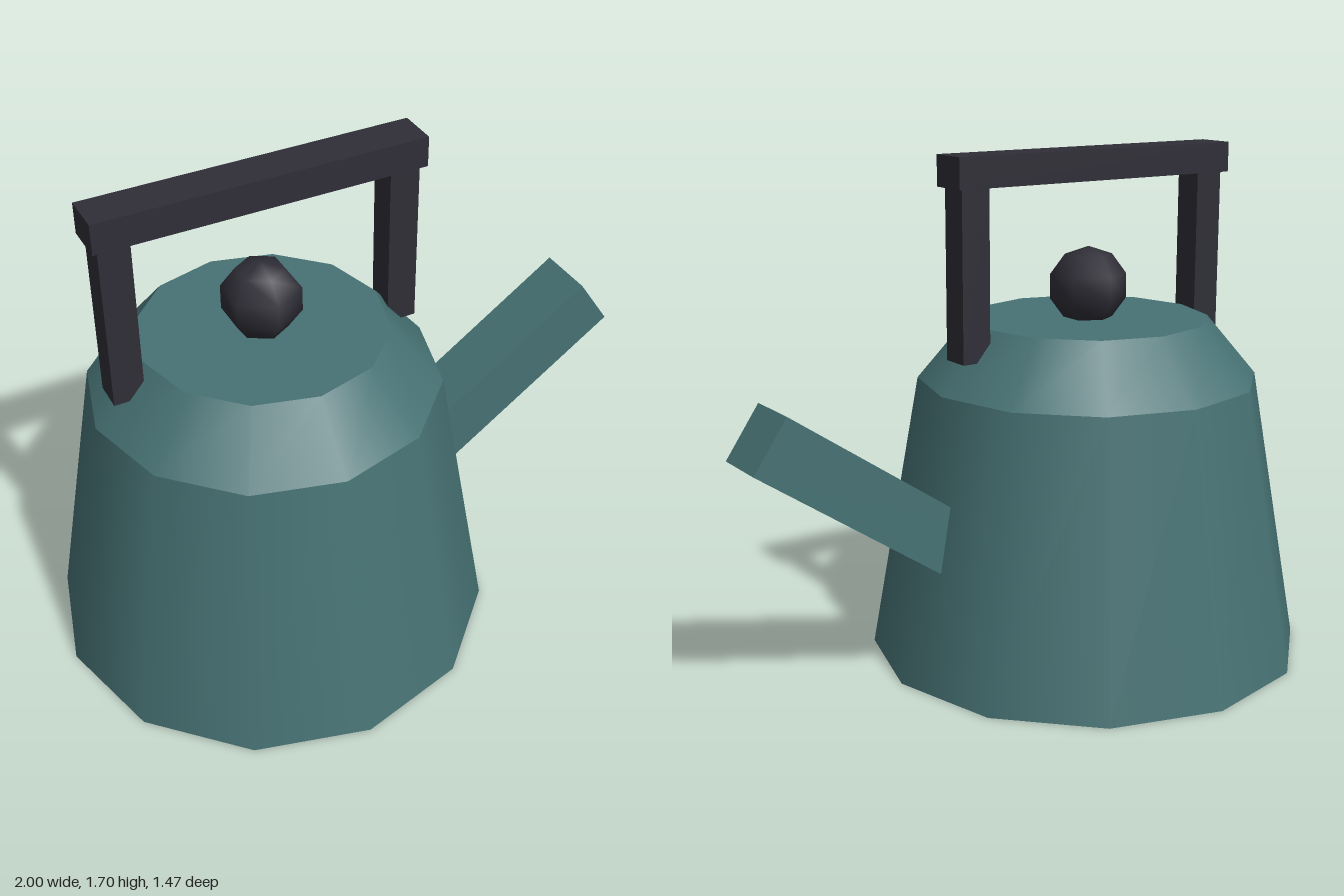
import * as THREE from 'three';

export function createModel() {
  const kettle = new THREE.Group();
  kettle.name = 'kettle';
  const teal = new THREE.MeshStandardMaterial({ color: 0x477274 });
  teal.name = 'teal enamel';
  const dark = new THREE.MeshStandardMaterial({ color: 0x2f2e37 });
  dark.name = 'dark grip';
  const cx = -0.264; // body axis

  const add = (name, geometry, material, x, y, z = 0) => {
    const mesh = new THREE.Mesh(geometry, material);
    mesh.name = name;
    mesh.position.set(x, y, z);
    kettle.add(mesh);
    return mesh;
  };

  // Tapered twelve-sided body, sloping shoulder and flat lid
  const ring = (rTop, rBottom, h) => new THREE.CylinderGeometry(rTop, rBottom, h, 12, 1, true);
  add('body', ring(0.57, 0.736, 0.94), teal, cx, 0.47);
  add('shoulder', ring(0.402, 0.57, 0.2), teal, cx, 1.04);
  add('lid', new THREE.CircleGeometry(0.402, 12).rotateX(-Math.PI / 2), teal, cx, 1.14);
  add('base', new THREE.CircleGeometry(0.736, 12).rotateX(Math.PI / 2), teal, cx, 0);

  // Faceted lid knob
  add('lidKnob', new THREE.SphereGeometry(0.133, 6, 5).rotateY(Math.PI / 2), dark, cx, 1.243);

  // Square handle: two posts and a crossbar
  for (const [name, side] of [['leftHandlePost', 1], ['rightHandlePost', -1]]) {
    add(name, new THREE.BoxGeometry(0.1, 0.56, 0.1), dark, cx + side * 0.468, 1.325);
  }
  add('handleBar', new THREE.BoxGeometry(1.073, 0.1, 0.134), dark, cx, 1.646);

  // Straight square spout, its inner end buried in the body
  const angle = 0.6, length = 0.8;
  const spout = add('spout', new THREE.BoxGeometry(length, 0.2, 0.2), teal,
    0.9435 - Math.cos(angle) * length / 2, 0.9 - Math.sin(angle) * length / 2);
  spout.rotation.z = angle;

  return kettle;
}
